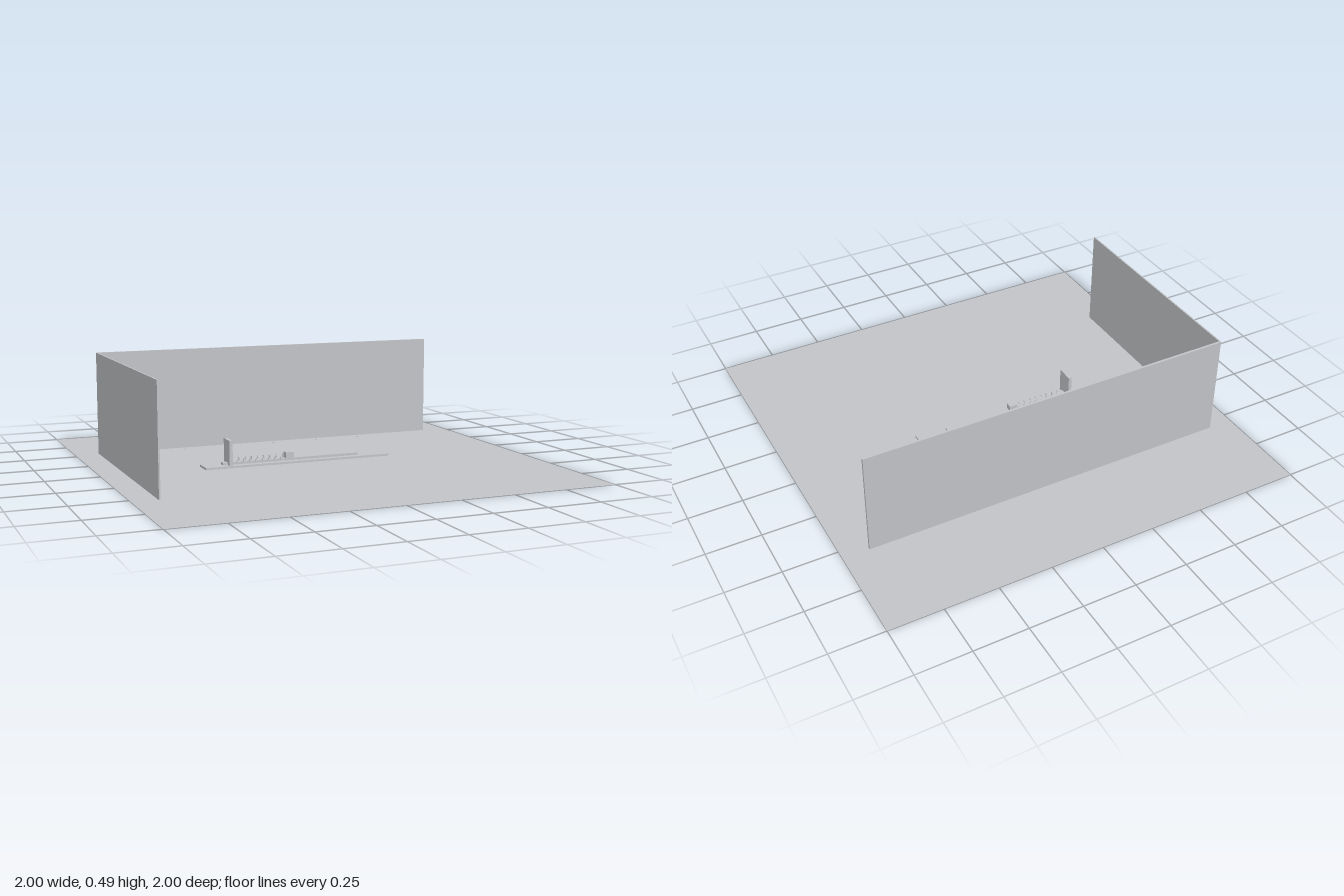
import * as THREE from 'three';

const grey = new THREE.MeshStandardMaterial({ color: 0xc6c7cb, side: THREE.DoubleSide });
grey.name = 'lightGrey';

// Coil running along x
class Helix extends THREE.Curve {
  constructor(x0, x1, y, radius, turns) {
    super();
    Object.assign(this, { x0, x1, y, radius, turns });
  }
  getPoint(t, target = new THREE.Vector3()) {
    const a = t * this.turns * Math.PI * 2;
    return target.set(
      this.x0 + (this.x1 - this.x0) * t,
      this.y - Math.cos(a) * this.radius,
      Math.sin(a) * this.radius
    );
  }
}

export function createModel() {
  const model = new THREE.Group();
  model.name = 'springTrackScene';

  const add = (name, geometry) => {
    const mesh = new THREE.Mesh(geometry, grey);
    mesh.name = name;
    model.add(mesh);
    return mesh;
  };
  // Box given by its limits on each axis
  const box = (name, [x0, x1], [y0, y1], [z0, z1]) =>
    add(name, new THREE.BoxGeometry(x1 - x0, y1 - y0, z1 - z0))
      .position.set((x0 + x1) / 2, (y0 + y1) / 2, (z0 + z1) / 2);

  // Floor sheet
  add('floor', new THREE.PlaneGeometry(2, 2).rotateX(-Math.PI / 2));

  // Two walls meeting at the back corner
  box('backWall', [-0.88, 0.878], [0, 0.492], [-0.548, -0.537]);
  box('sideWall', [-0.887, -0.88], [0, 0.492], [-0.543, 0.537]);

  // Track: base board, rail, end stop and sliding block
  box('baseBoard', [-0.53, 0.386], [0.001, 0.011], [-0.046, 0.046]);
  box('rail', [-0.438, 0.241], [0.011, 0.022], [-0.015, 0.015]);
  box('endStop', [-0.416, -0.4], [0.011, 0.128], [-0.04, 0.04]);
  box('slidingBlock', [-0.13, -0.09], [0.022, 0.049], [-0.015, 0.015]);

  // Spring between end stop and block
  add('spring', new THREE.TubeGeometry(new Helix(-0.375, -0.13, 0.03, 0.012, 8), 160, 0.0025, 6));

  // Row of marker studs in front of the back wall
  for (let i = -2; i <= 2; i++) {
    add('markerStud', new THREE.CylinderGeometry(0.005, 0.005, 0.003, 12))
      .position.set(i * 0.235, 0.0015, -0.492);
  }
  return model;
}
